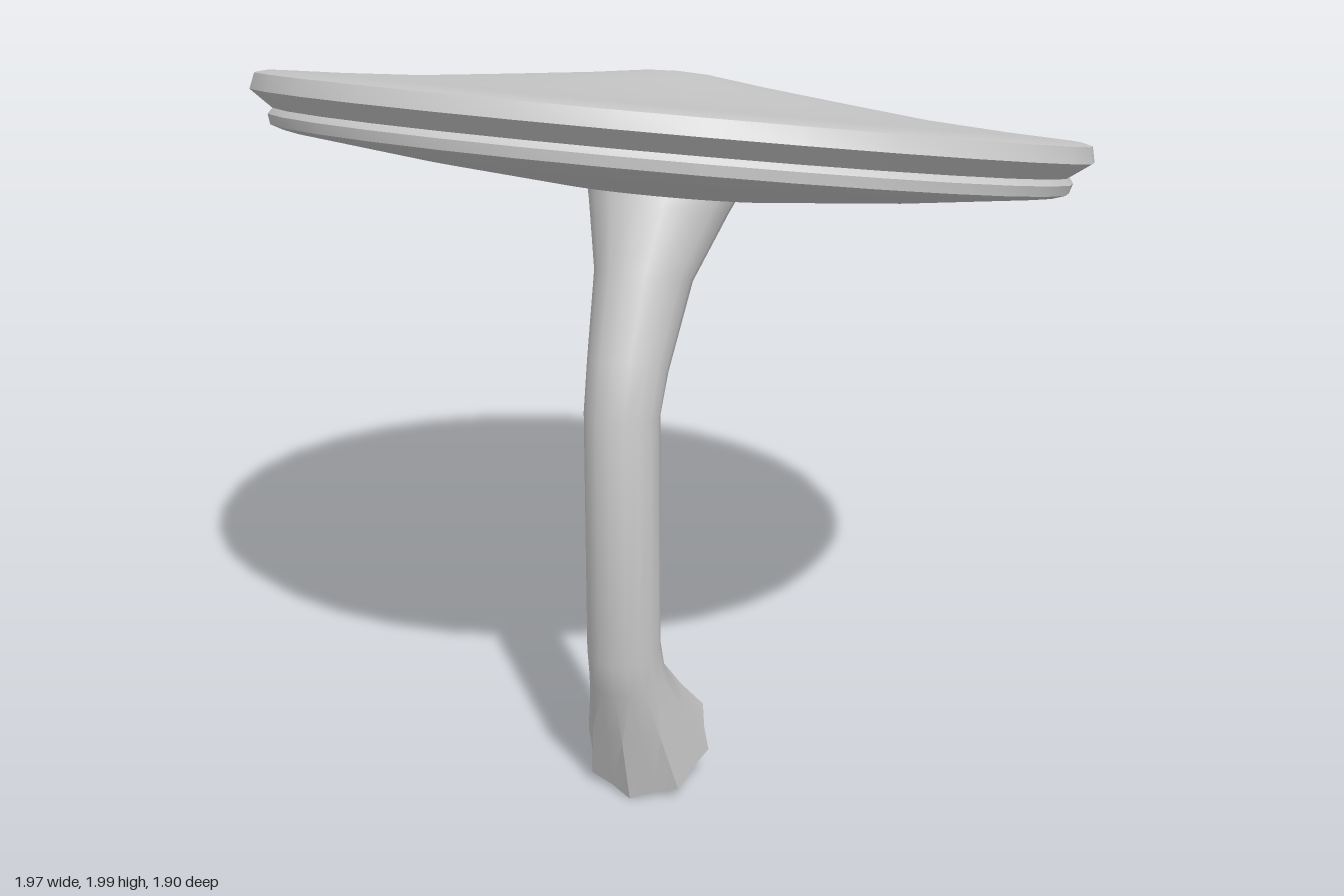
import * as THREE from 'three';
import { toCreasedNormals } from 'three/addons/utils/BufferGeometryUtils.js';

const TILT = 0.272;

// Loft through tilted rings given by front point, back point (z, y) and half width in x
function loftStem(rings, sides) {
  const pos = [], idx = [];
  rings.forEach(({ front, back, rx, flute = 0 }) => {
    const mz = (front[0] + back[0]) / 2, my = (front[1] + back[1]) / 2;
    const dz = (front[0] - back[0]) / 2, dy = (front[1] - back[1]) / 2;
    for (let i = 0; i < sides; i++) {
      const t = (i / sides) * Math.PI * 2;
      const k = 1 + (i % 2 ? -flute : 0);
      pos.push(-0.01 + rx * k * Math.sin(t), my + dy * k * Math.cos(t), mz + dz * k * Math.cos(t));
    }
  });
  for (let r = 0; r < rings.length - 1; r++) {
    for (let i = 0; i < sides; i++) {
      const a = r * sides + i, b = r * sides + (i + 1) % sides;
      idx.push(a, b, b + sides, a, b + sides, a + sides);
    }
  }
  // Flat cut at the foot
  const { front, back } = rings[0];
  const c = pos.length / 3;
  pos.push(-0.01, (front[1] + back[1]) / 2, (front[0] + back[0]) / 2);
  for (let i = 0; i < sides; i++) idx.push(c, (i + 1) % sides, i);
  const geo = new THREE.BufferGeometry();
  geo.setAttribute('position', new THREE.Float32BufferAttribute(pos, 3));
  geo.setIndex(idx);
  return toCreasedNormals(geo, 0.6);
}

export function createModel() {
  const model = new THREE.Group();
  model.name = 'mushroom';
  const material = new THREE.MeshStandardMaterial({ color: 0xcccccc });

  // Cap: wide shallow disc with a double rim, tilted up at the front
  const profile = [
    [0, -0.13], [0.19, -0.132], [0.27, -0.158], [0.6, -0.125], [0.905, -0.085],
    [0.935, -0.075], [0.942, -0.052], [0.932, -0.038], [0.985, 0], [0.977, 0.037],
    [0.95, 0.044], [0.8, 0.05], [0.6, 0.062], [0.4, 0.083], [0.2, 0.105], [0.07, 0.122], [0, 0.125],
  ].map(([r, h]) => new THREE.Vector2(r, h));
  const cap = new THREE.Mesh(toCreasedNormals(new THREE.LatheGeometry(profile, 32), 0.4), material);
  cap.name = 'cap';
  cap.position.y = 1.7;
  cap.rotation.x = -TILT;
  model.add(cap);

  // Stem: bent stalk with a fluted, slanted foot and a flare under the cap
  const stem = new THREE.Mesh(loftStem([
    { front: [0.31, 0.005], back: [0.03, 0.2], rx: 0.165, flute: 0.1 },
    { front: [0.36, 0.2], back: [0.14, 0.3], rx: 0.128, flute: 0.06 },
    { front: [0.405, 0.36], back: [0.23, 0.4], rx: 0.097, flute: 0.02 },
    { front: [0.43, 0.455], back: [0.25, 0.49], rx: 0.09 },
    { front: [0.425, 1.105], back: [0.245, 1.08], rx: 0.09 },
    { front: [0.39, 1.24], back: [0.2, 1.15], rx: 0.095 },
    { front: [0.305, 1.43], back: [0.06, 1.335], rx: 0.115 },
    { front: [0.24, 1.575], back: [-0.09, 1.46], rx: 0.165 },
    { front: [0.21, 1.625], back: [-0.16, 1.52], rx: 0.19 },
  ], 16), material);
  stem.name = 'stem';
  model.add(stem);

  return model;
}
